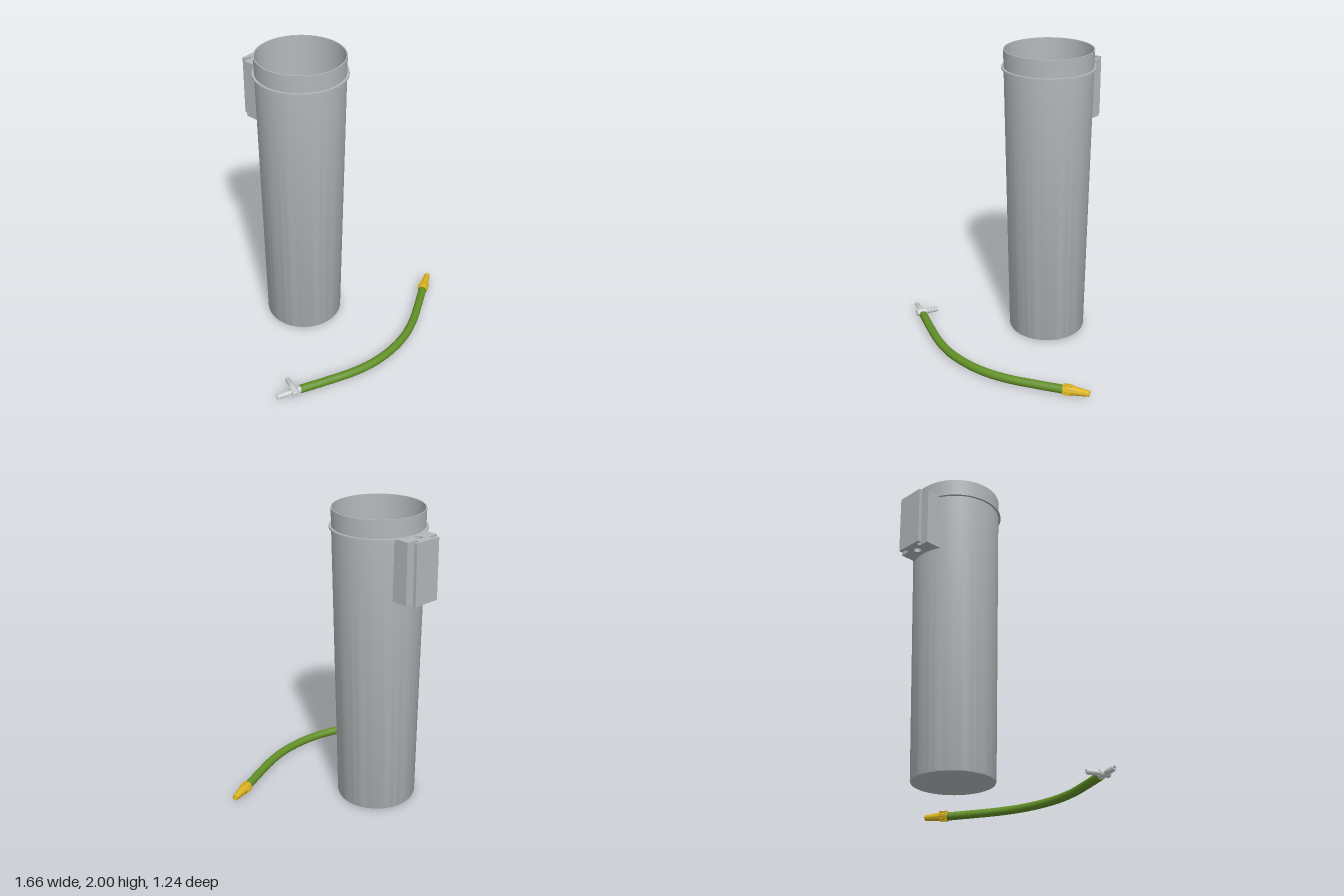
import * as THREE from 'three';
import { toCreasedNormals } from 'three/addons/utils/BufferGeometryUtils.js';

const material = (name, color) => new THREE.MeshStandardMaterial({ name, color });

export function createModel() {
  const model = new THREE.Group();
  model.name = 'tubeAndHose';
  const grey = material('grey plastic', 0xb4b8ba);
  const pale = material('pale fitting', 0xcfd1d2);
  const green = material('green hose', 0x628f27);
  const gold = material('gold nozzle', 0xdcb41f);

  const add = (parent, name, geometry, mat) => {
    const mesh = new THREE.Mesh(geometry, mat);
    mesh.name = name;
    parent.add(mesh);
    return mesh;
  };
  const lathe = (points, sides) => toCreasedNormals(
    new THREE.LatheGeometry(points.map(([r, y]) => new THREE.Vector2(r, y)), sides), 0.6);
  // Group whose local y axis points along a direction
  const along = (name, position, direction) => {
    const group = new THREE.Group();
    group.name = name;
    group.position.set(...position);
    group.quaternion.setFromUnitVectors(new THREE.Vector3(0, 1, 0),
      new THREE.Vector3(...direction).normalize());
    model.add(group);
    return group;
  };

  // Tapered cup: outside with a thin ridge, then the inside down to the floor
  const cupZ = -0.21;
  const cup = add(model, 'cup', lathe([
    [0, 0.008], [0.25, 0.008], [0.257, 0.011], [0.261, 0.02],
    [0.289, 1.876], [0.304, 1.876], [0.304, 1.886], [0.289, 1.886],
    [0.291, 2], [0.284, 2], [0.254, 0.03], [0, 0.03],
  ], 72), grey);
  cup.position.z = cupZ;

  // Mounting bracket: block, neck and back plate in one outline
  const half = 0.123, hug = 0.282, a = Math.asin(half / hug);
  const outline = new THREE.Shape();
  outline.absarc(0, 0, hug, Math.PI / 2 + a, Math.PI / 2 - a, true);
  [[half, 0.367], [0.055, 0.367], [0.055, 0.393], [0.092, 0.393], [0.092, 0.415],
    [-0.092, 0.415], [-0.092, 0.393], [-0.055, 0.393], [-0.055, 0.367], [-half, 0.367],
  ].forEach(([x, y]) => outline.lineTo(x, y));
  outline.closePath();
  const hole = new THREE.Path();
  hole.absarc(0, 0.338, 0.024, 0, Math.PI * 2, true);
  outline.holes.push(hole);
  const bracketShape = new THREE.ExtrudeGeometry(outline,
    { depth: 0.393, bevelEnabled: false, curveSegments: 24 });
  bracketShape.rotateX(-Math.PI / 2);
  add(model, 'bracket', bracketShape, grey).position.set(0, 1.492, cupZ);

  // Hose lying on the ground
  const path = new THREE.CatmullRomCurve3([
    [-0.675, 0.363], [-0.5, 0.448], [-0.33, 0.524], [-0.17, 0.57], [0, 0.585],
    [0.17, 0.57], [0.33, 0.524], [0.5, 0.448], [0.675, 0.363],
  ].map(([x, z]) => new THREE.Vector3(x, 0.037, z)));
  add(model, 'hose', new THREE.TubeGeometry(path, 64, 0.028, 20), green);
  const hoseEnd = add(model, 'hoseEnd', new THREE.CircleGeometry(0.028, 20), green);
  hoseEnd.position.copy(path.getPoint(0));
  hoseEnd.lookAt(path.getPoint(0).sub(path.getTangent(0)));

  // Nozzle: ribbed nut and hollow tapered tip
  const nozzle = along('nozzle', [0.662, 0.04, 0.369], [0.915, 0.01, -0.41]);
  add(nozzle, 'nut', lathe([
    [0, 0], [0.03, 0], [0.033, 0.004], [0.033, 0.056], [0.03, 0.062], [0, 0.062],
  ], 32), gold);
  for (let i = 0; i < 18; i++) {
    const t = i / 18 * Math.PI * 2;
    const rib = add(nozzle, 'nutRib', new THREE.BoxGeometry(0.005, 0.054, 0.006), gold);
    rib.position.set(Math.sin(t) * 0.034, 0.031, Math.cos(t) * 0.034);
    rib.rotation.y = t;
  }
  add(nozzle, 'tip', lathe([
    [0.03, 0.06], [0.029, 0.075], [0.019, 0.172], [0.012, 0.172], [0.012, 0.09], [0, 0.09],
  ], 28), gold);

  // Branched fitting: collar, body and two barbed arms
  const main = [-0.92, 0, -0.39], side = [0.42, 0, -0.91];
  const centre = [-0.715, 0.036, 0.342];
  const collar = along('fittingCollar', [-0.667, 0.036, 0.364], main);
  add(collar, 'collar', lathe([
    [0, 0], [0.022, 0], [0.022, 0.03], [0.017, 0.034], [0.017, 0.06], [0, 0.06],
  ], 20), pale);
  const body = along('fittingBody', centre, side);
  add(body, 'body', lathe([
    [0, -0.037], [0.02, -0.037], [0.024, -0.032], [0.024, 0.03], [0.02, 0.035], [0, 0.035],
  ], 20), pale);
  const barbs = (length) => {
    const points = [[0, 0], [0.016, 0]];
    for (let i = 0; i < 3; i++) {
      const y = length * (0.4 + i * 0.2);
      points.push([0.014, y], [0.02, y], [0.015, y + length * 0.19]);
    }
    points.push([0.014, length], [0.008, length], [0.008, length * 0.5], [0, length * 0.5]);
    return lathe(points, 20);
  };
  add(along('mainArm', centre, main), 'barbedArm', barbs(0.124), pale);
  add(along('sideArm', centre, side), 'barbedArm', barbs(0.118), pale);

  return model;
}
